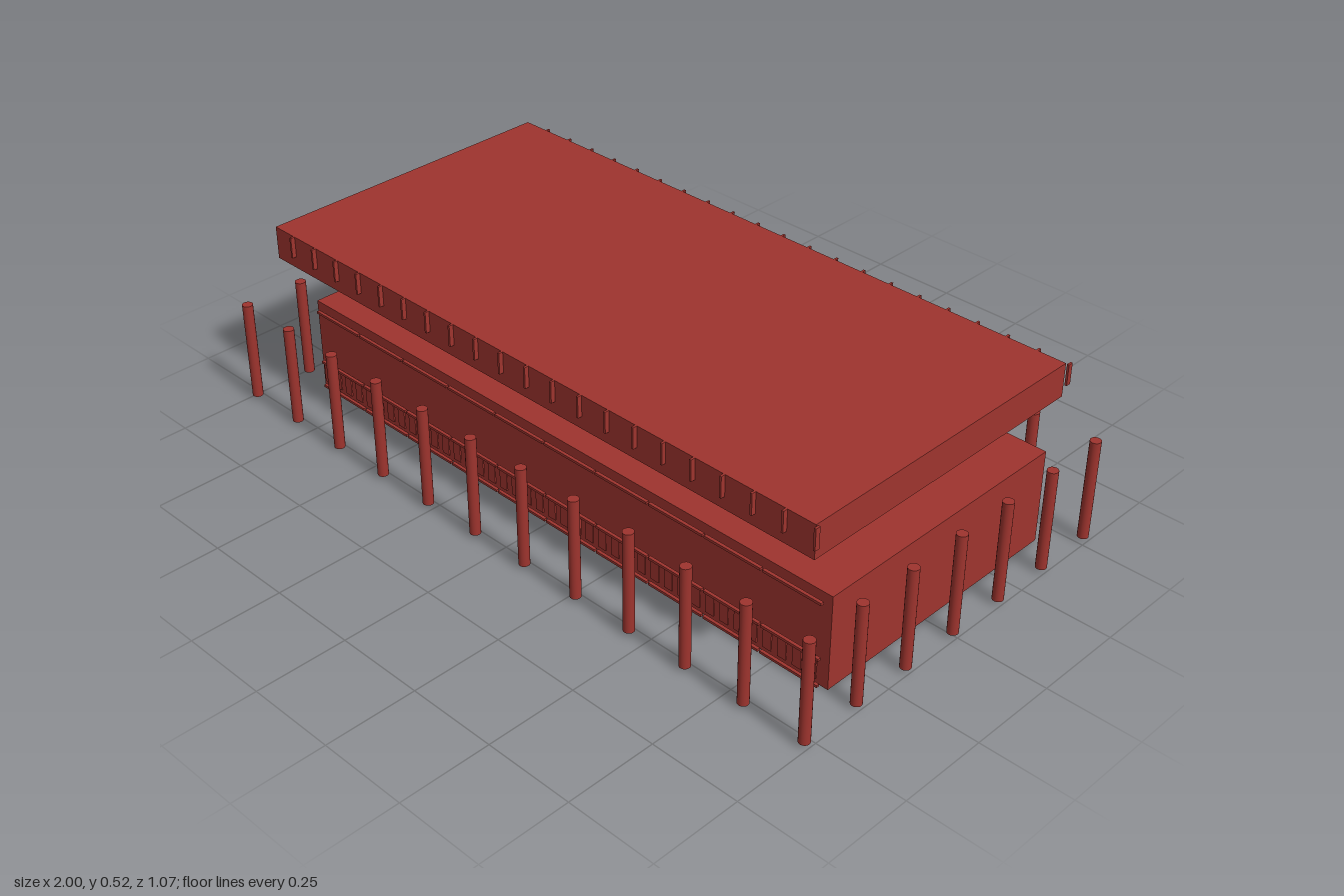
import * as THREE from 'three';

export function createModel() {
  const model = new THREE.Group();
  const brickRed = new THREE.MeshStandardMaterial({ color: 0x9e342e });
  brickRed.name = 'brickRed';

  // Box given by its low and high corners
  function block(name, parent, x0, x1, y0, y1, z0, z1) {
    const mesh = new THREE.Mesh(new THREE.BoxGeometry(x1 - x0, y1 - y0, z1 - z0), brickRed);
    mesh.position.set((x0 + x1) / 2, (y0 + y1) / 2, (z0 + z1) / 2);
    mesh.name = name;
    parent.add(mesh);
  }

  function group(name) {
    const g = new THREE.Group();
    g.name = name;
    model.add(g);
    return g;
  }

  // Enclosed hall and the roof slab floating above it
  block('hall', model, -0.911, 0.905, 0, 0.264, -0.436, 0.349);
  block('roof', model, -0.928, 0.924, 0.426, 0.518, -0.444, 0.444);

  // Thin fins along the long roof edges
  const fins = group('roofFins');
  for (let i = 0; i < 21; i++) {
    const x = 0.931 - i * 0.0891;
    block('frontFin', fins, x - 0.003, x + 0.003, 0.46, 0.518, 0.442, 0.456);
    block('backFin', fins, x - 0.003, x + 0.003, 0.46, 0.518, -0.456, -0.442);
  }

  // Facade bays: three rails and a row of low bars, standing just off each long wall
  const facades = group('facadeBays');
  const pitch = 0.1785;
  for (const [inner, outer] of [[0.358, 0.367], [-0.447, -0.456]]) {
    const z0 = Math.min(inner, outer), z1 = Math.max(inner, outer);
    const mid = (z0 + z1) / 2;
    for (let i = 0; i < 10; i++) {
      const x0 = -0.895 + i * pitch;
      for (const y of [0.009, 0.085, 0.242]) {
        block('rail', facades, x0 + 0.003, x0 + pitch - 0.003, y - 0.0035, y + 0.0035, z0, z1);
      }
      for (let j = 0; j < 4; j++) {
        const x = x0 + (j + 0.5) * pitch / 4;
        block('bar', facades, x - 0.013, x + 0.013, 0.027, 0.083, mid - 0.002, mid + 0.002);
      }
    }
  }

  // Ring of free-standing round columns
  const columns = group('colonnade');
  const columnGeometry = new THREE.CylinderGeometry(0.0145, 0.0145, 0.283, 20);
  function column(x, z) {
    const mesh = new THREE.Mesh(columnGeometry, brickRed);
    mesh.position.set(x, 0.1515, z);
    mesh.name = 'column';
    columns.add(mesh);
  }
  for (let i = 0; i < 12; i++) {
    const x = -0.985 + i * 1.97 / 11;
    column(x, 0.521);
    column(x, -0.521);
  }
  for (let i = -2; i <= 2; i++) {
    column(-0.985, i * 0.1732);
    column(0.985, i * 0.1732);
  }

  return model;
}
